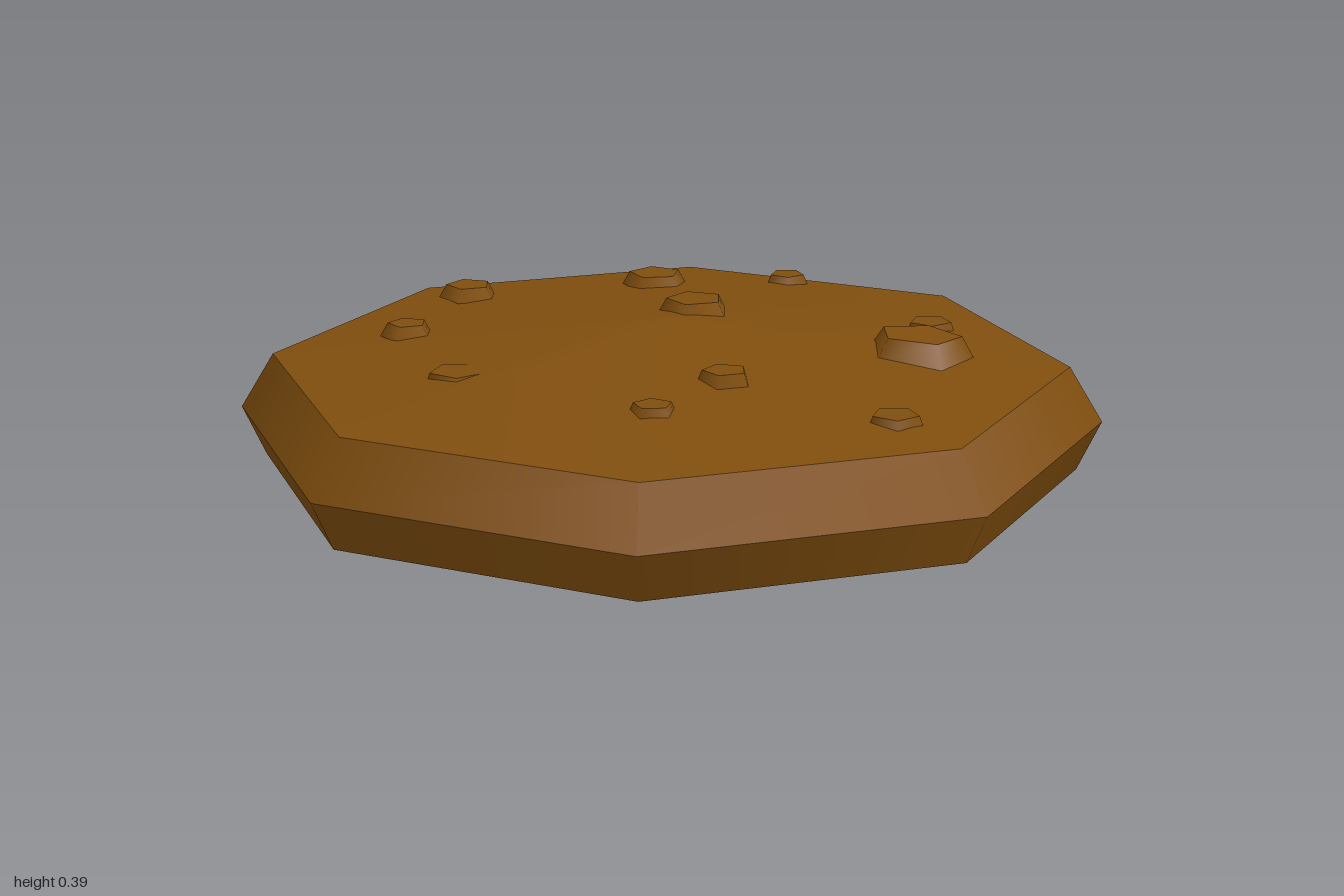
import * as THREE from 'three';

export function createModel() {
  const group = new THREE.Group();
  const brown = new THREE.MeshStandardMaterial({ color: 0x804e0e });
  brown.name = 'baked brown';
  const toCorner = 1 / Math.cos(Math.PI / 8); // octagon half width to corner radius

  // One octagonal band, from half width `low` at y0 to half width `high` at y1
  function band(name, low, high, y0, y1) {
    const geo = new THREE.CylinderGeometry(high * toCorner, low * toCorner, y1 - y0, 8, 1, true);
    geo.rotateY(Math.PI / 8);
    geo.translate(0, (y0 + y1) / 2, 0);
    const mesh = new THREE.Mesh(geo, brown);
    mesh.name = name;
    group.add(mesh);
  }
  band('lowerEdge', 0.945, 1, 0, 0.125);
  band('upperEdge', 1, 0.922, 0.125, 0.265);
  band('domedTop', 0.922, 0, 0.265, 0.375);

  // Flat underside
  const base = new THREE.CircleGeometry(0.945 * toCorner, 8, Math.PI / 8);
  base.rotateX(Math.PI / 2);
  const underside = new THREE.Mesh(base, brown);
  underside.name = 'underside';
  group.add(underside);

  // Five-sided chips half sunk in the top: x, z, top y, outer radius, top radius, heading, tilt
  const W = -Math.PI / 2, N = Math.PI;
  const chips = [
    [-0.33, -0.68, 0.328, 0.08, 0.06, N, 0],
    [0.175, -0.62, 0.335, 0.09, 0.07, 2.95, 0],
    [0.56, -0.625, 0.3, 0.063, 0.047, W, 0],
    [-0.585, -0.33, 0.33, 0.07, 0.05, N, 0],
    [0.11, -0.11, 0.39, 0.092, 0.073, 3.1, 0],
    [-0.565, 0.09, 0.313, 0.08, 0.07, W, 0],
    [0.715, -0.005, 0.305, 0.067, 0.055, W, 0],
    [0.565, 0.265, 0.35, 0.142, 0.105, 0, -0.06],
    [0, 0.415, 0.35, 0.068, 0.055, N, 0],
    [-0.225, 0.55, 0.325, 0.062, 0.047, 2.9, 0],
    [0.3, 0.735, 0.302, 0.07, 0.057, W, 0],
  ];
  chips.forEach(([x, z, top, outer, inner, heading, tilt], i) => {
    const height = outer > 0.1 ? 0.06 : 0.035;
    const geo = new THREE.CylinderGeometry(inner, outer, height, 5);
    geo.rotateY(heading);
    const chip = new THREE.Mesh(geo, brown);
    chip.position.set(x, top - height / 2, z);
    chip.rotation.z = tilt;
    chip.name = `chip${i + 1}`;
    group.add(chip);
  });

  return group;
}
